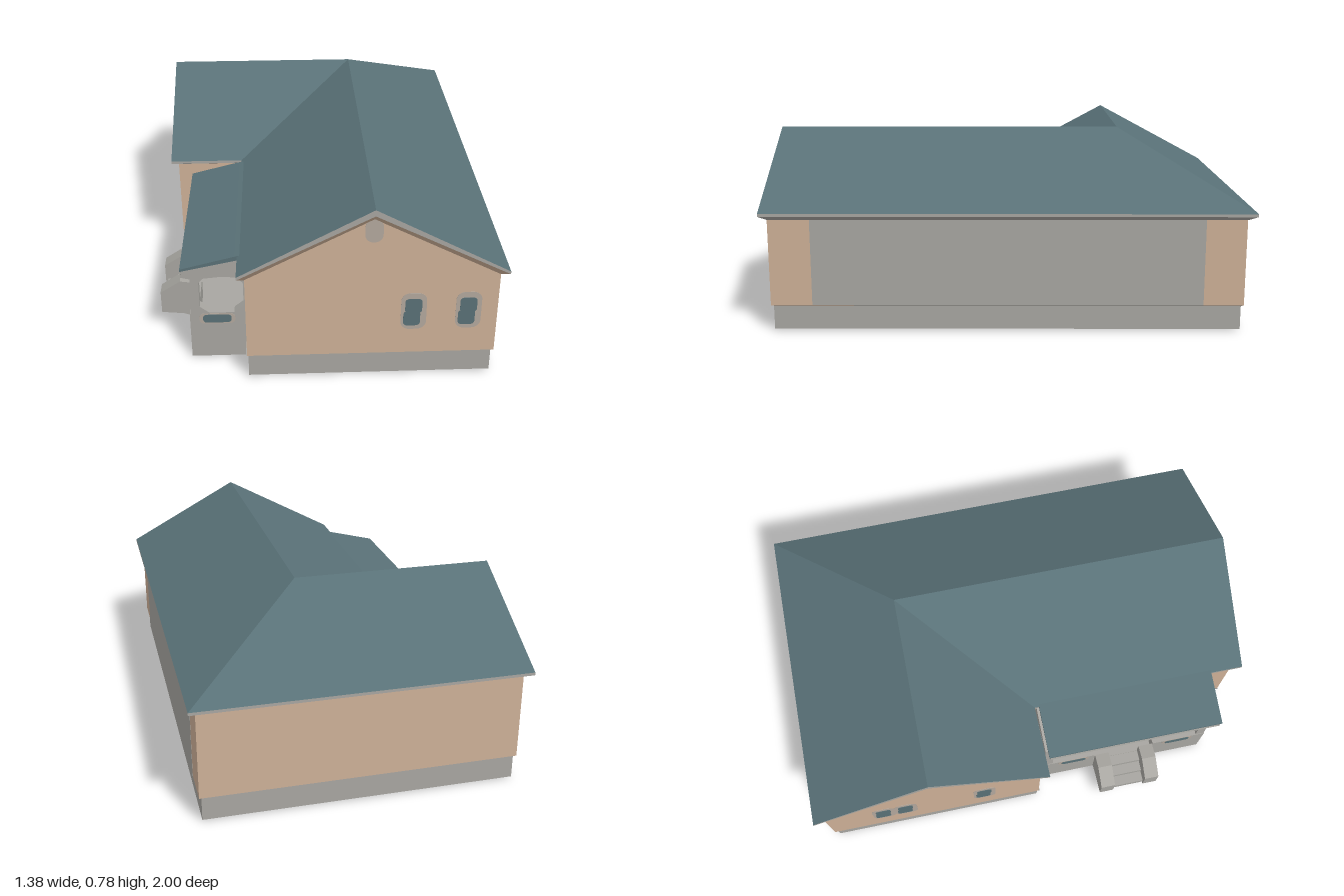
import * as THREE from 'three';

const mat = (name, color) => {
  const m = new THREE.MeshStandardMaterial({ color, side: THREE.DoubleSide });
  m.name = name;
  return m;
};

export function createModel() {
  const house = new THREE.Group();
  house.name = 'house';
  const teal = mat('roof teal', 0x597177);
  const tan = mat('wall tan', 0xcdb097);
  const grey = mat('trim grey', 0xa8a6a1);
  const frameGrey = mat('frame grey', 0xb3a89d);

  const add = (name, geo, m, x = 0, y = 0, z = 0, parent = house) => {
    const mesh = new THREE.Mesh(geo, m);
    mesh.name = name;
    mesh.position.set(x, y, z);
    parent.add(mesh);
    return mesh;
  };
  // Flat faces, each a fan of corner points
  const faces = (name, polys, m) => {
    const pos = [];
    for (const p of polys)
      for (let i = 1; i < p.length - 1; i++) pos.push(...p[0], ...p[i], ...p[i + 1]);
    const g = new THREE.BufferGeometry();
    g.setAttribute('position', new THREE.Float32BufferAttribute(pos, 3));
    g.computeVertexNormals();
    return add(name, g, m);
  };
  const box = (name, m, x0, x1, y0, y1, z0, z1) =>
    add(name, new THREE.BoxGeometry(x1 - x0, y1 - y0, z1 - z0), m, (x0 + x1) / 2, (y0 + y1) / 2, (z0 + z1) / 2);
  const outline = pts => pts.map(p => new THREE.Vector2(...p));
  // Outline drawn in x, y and pushed along z
  const prism = (name, pts, m, z0, z1, hole) => {
    const s = new THREE.Shape(outline(pts));
    if (hole) s.holes.push(new THREE.Path(outline(hole)));
    return add(name, new THREE.ExtrudeGeometry(s, { depth: z1 - z0, bevelEnabled: false }), m, 0, 0, z0);
  };

  // Main roof: two crossing gables with a hip at the back left corner
  const E = 0.505, R = 0.785;
  const ridge = [0.17, R, -0.48], ridgeFront = [0.17, R, 1], ridgeRight = [-0.67, R, -0.48];
  const valley = [-0.35, E, 0.04];
  faces('mainRoof', [
    [[-0.67, E, -1], ridgeRight, ridge, [0.69, E, -1]],
    [[0.69, E, -1], ridge, ridgeFront, [0.69, E, 1]],
    [[-0.35, E, 1], ridgeFront, ridge, valley],
    [[-0.67, E, 0.04], valley, ridge, ridgeRight],
  ], teal);

  // Roof edge and matching wall outline, walked in the same order
  const edge = [[-0.67, E, -1], [0.69, E, -1], [0.69, E, 1], ridgeFront, [-0.35, E, 1], valley, [-0.67, E, 0.04], ridgeRight];
  const plan = [[-0.64, -0.965], [0.66, -0.965], [0.66, 0.97], [0.17, 0.97], [-0.32, 0.97], [-0.32, 0.005], [-0.64, 0.005], [-0.64, -0.48]];
  const fascia = [], eaveSoffit = [], rakeSoffit = [], walls = [];
  edge.forEach((a, i) => {
    const j = (i + 1) % 8, b = edge[j];
    const low = p => [p[0], p[1] - (p[1] > 0.6 ? 0.026 : 0.012), p[2]];
    const top = k => [plan[k][0], edge[k][1] > 0.6 ? 0.729 : 0.474, plan[k][1]];
    const foot = k => [plan[k][0], 0.115, plan[k][1]];
    const rake = a[1] > 0.6 || b[1] > 0.6;
    fascia.push([a, b, low(b), low(a)]);
    (rake ? rakeSoffit : eaveSoffit).push([low(a), low(b), top(j), top(i)]);
    walls.push([top(i), top(j), foot(j), foot(i)]);
  });
  faces('fascia', fascia, grey);
  faces('eaveSoffit', eaveSoffit, grey);
  faces('rakeSoffit', rakeSoffit, tan);
  faces('walls', walls, tan);
  box('sidePanel', grey, 0.655, 0.661, 0.116, 0.474, -0.8, 0.8);

  // Hollow foundation skirt under a raised floor
  const ell = d => [[-0.63 + d, 0.955 - d], [-0.63 + d, d], [-0.315 + d, d], [-0.315 + d, -0.96 + d], [0.65 - d, -0.96 + d], [0.65 - d, 0.955 - d]];
  const flat = (mesh, y) => {
    mesh.rotation.x = -Math.PI / 2;
    mesh.position.y = y;
  };
  // Vertical or sloping band between two inset outlines
  const band = (name, m, d0, y0, d1, y1) => {
    const p = ell(d0), q = ell(d1);
    faces(name, p.map((a, i) => {
      const j = (i + 1) % 6;
      return [[a[0], y0, -a[1]], [p[j][0], y0, -p[j][1]], [q[j][0], y1, -q[j][1]], [q[i][0], y1, -q[i][1]]];
    }), m);
  };
  flat(prism('foundation', ell(0), grey, 0, 0.098, ell(0.02)), 0.012);
  band('foundationLedge', grey, 0, 0.11, -0.01, 0.116);
  band('floorEdge', tan, 0.02, 0.1, 0.02, 0.17);
  flat(add('floor', new THREE.ShapeGeometry(new THREE.Shape(outline(ell(0.015)))), tan), 0.17);

  // Rounded thin plate used for frames, panes and vents
  const plate = (w, h, r, d) => {
    const s = new THREE.Shape();
    const x = w / 2 - r, y = h / 2 - r;
    s.absarc(x, y, r, 0, Math.PI / 2);
    s.absarc(-x, y, r, Math.PI / 2, Math.PI);
    s.absarc(-x, -y, r, Math.PI, Math.PI * 1.5);
    s.absarc(x, -y, r, Math.PI * 1.5, Math.PI * 2);
    return new THREE.ExtrudeGeometry(s, { depth: d, bevelEnabled: false, curveSegments: 4 });
  };
  const opening = (name, x, y, z, turn, w = 0.1, h = 0.168) => {
    const g = new THREE.Group();
    g.name = name;
    g.position.set(x, y, z);
    g.rotation.y = turn;
    add('frame', plate(w, h, 0.035, 0.0015), frameGrey, 0, 0, 0, g);
    for (const s of [-1, 1])
      add('pane', plate(w - 0.034, h * 0.4, 0.016, 0.003), teal, s * 0.003 - 0.004, s * h * 0.17 - 0.004, 0, g);
    house.add(g);
  };
  const W = -Math.PI / 2;
  opening('frontWindow', 0.332, 0.312, 0.97, 0);
  opening('frontWindow', 0.546, 0.312, 0.97, 0);
  for (const z of [-0.71, -0.61, -0.25]) opening('sideWindow', -0.64, 0.312, z, W);
  opening('porchWindow', -0.32, 0.312, 0.68, W);
  opening('porchWindow', -0.32, 0.312, 0.2, W);
  opening('porchDoor', -0.32, 0.26, 0.43, W, 0.12, 0.25);
  add('frontVent', plate(0.068, 0.1, 0.032, 0.0015), frameGrey, 0.17, 0.68, 0.97);
  add('sideVent', plate(0.068, 0.1, 0.032, 0.0015), frameGrey, -0.64, 0.68, -0.48).rotation.y = W;

  // Porch roof, sloping more gently than the main one
  prism('porchRoof', [[-0.575, 0.442], [-0.575, 0.452], [-0.36, 0.506], [-0.32, 0.515], [-0.32, 0.495]], teal, 0.06, 0.855);
  prism('porchHeader', [[-0.575, 0.412], [-0.568, 0.443], [-0.33, 0.495], [-0.33, 0.42], [-0.53, 0.4]], grey, 0.065, 0.85);

  // Porch deck with open underside
  box('porchDeck', grey, -0.55, -0.315, 0.11, 0.135, 0.05, 0.82);
  box('porchSkirt', grey, -0.55, -0.52, 0.005, 0.12, 0.05, 0.82);
  for (const z of [0.05, 0.79]) box('porchSkirt', grey, -0.55, -0.31, 0.005, 0.12, z, z + 0.03);

  // End frames with a chamfered opening above a low wall
  for (const z of [0.05, 0.78])
    prism('porchEndFrame', [[-0.55, 0.13], [-0.54, 0.43], [-0.33, 0.475], [-0.32, 0.13]], grey, z, z + 0.04,
      [[-0.47, 0.22], [-0.508, 0.25], [-0.508, 0.365], [-0.48, 0.395], [-0.36, 0.387], [-0.332, 0.36], [-0.332, 0.25], [-0.37, 0.22]]);

  // Low side rails, leaving a gap for the steps, and their inset panels
  for (const [a, b] of [[0.05, 0.29], [0.57, 0.82]]) box('porchRail', grey, -0.55, -0.515, 0.13, 0.215, a, b);
  const railPanel = (x, z, turn) => {
    const g = new THREE.Group();
    g.name = 'railPanel';
    g.position.set(x, 0.192, z);
    g.rotation.y = turn;
    add('frame', plate(0.145, 0.05, 0.022, 0.0015), frameGrey, 0, 0, 0, g);
    add('inset', plate(0.115, 0.038, 0.016, 0.003), teal, 0, 0, 0, g);
    house.add(g);
  };
  railPanel(-0.44, 0.82, 0);
  railPanel(-0.44, 0.05, Math.PI);
  railPanel(-0.55, 0.19, W);
  railPanel(-0.55, 0.69, W);

  // Entry steps between sloping cheeks
  for (const z of [0.295, 0.505])
    prism('stepCheek', [[-0.695, 0.05], [-0.695, 0.15], [-0.61, 0.205], [-0.545, 0.195], [-0.545, 0.02], [-0.6, 0.04]], grey, z, z + 0.065);
  for (let i = 0; i < 3; i++)
    box('step', grey, -0.685 + i * 0.045, -0.54, 0.05, 0.08 + i * 0.025, 0.355, 0.51);

  return house;
}
